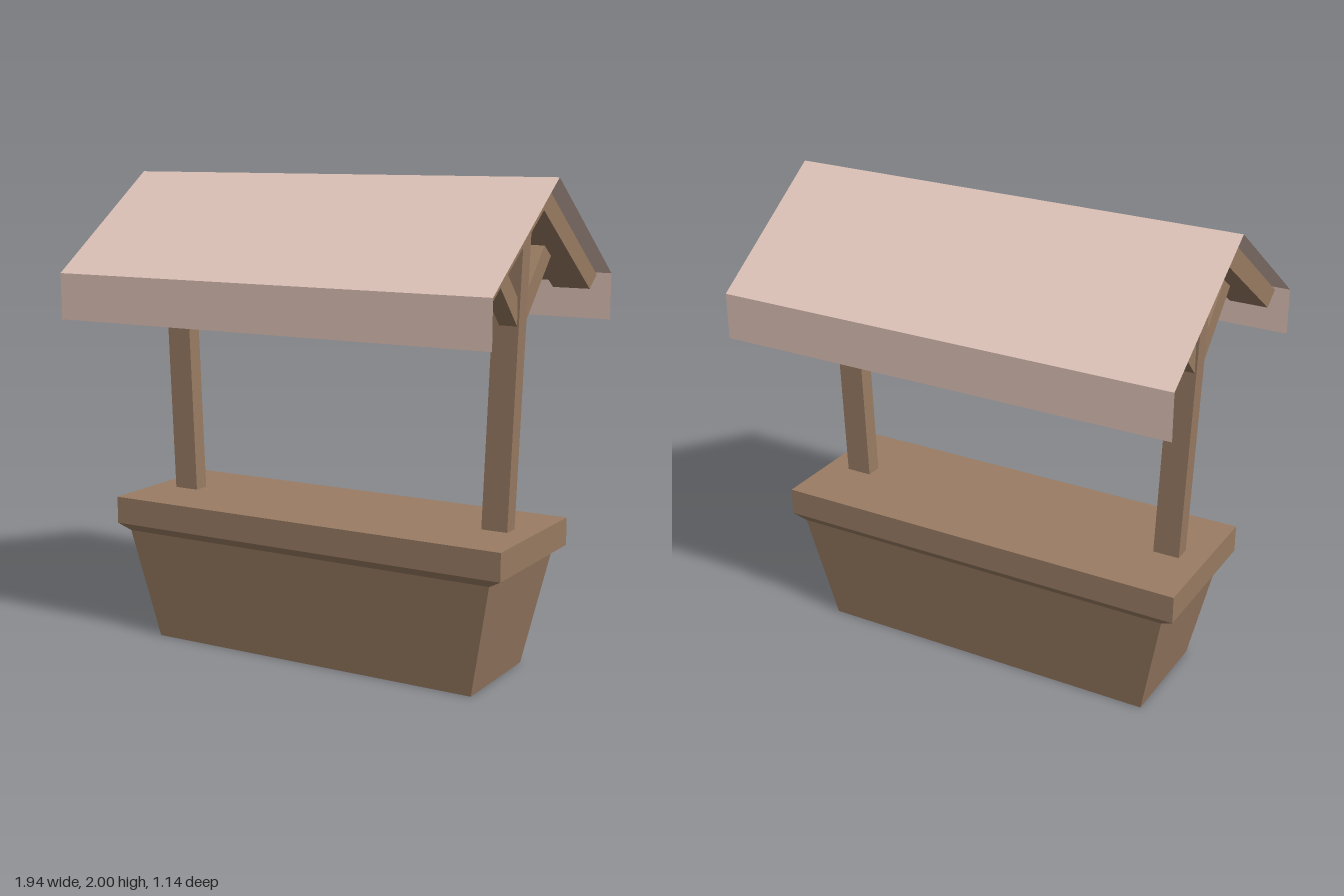
import * as THREE from 'three';

const wood = new THREE.MeshStandardMaterial({ color: 0x9a7c63, flatShading: true });
const cloth = new THREE.MeshStandardMaterial({ color: 0xdfc3b8, flatShading: true, side: THREE.DoubleSide });

function add(parent, name, geometry, material = wood) {
  const mesh = new THREE.Mesh(geometry, material);
  mesh.name = name;
  parent.add(mesh);
  return mesh;
}

// Prism with a (z, y) outline, running from x0 to x1
function prismX(points, x0, x1) {
  const shape = new THREE.Shape(points.map(([z, y]) => new THREE.Vector2(-z, y)));
  const geometry = new THREE.ExtrudeGeometry(shape, { depth: x1 - x0, bevelEnabled: false });
  return geometry.rotateY(Math.PI / 2).translate(x0, 0, 0);
}

// Closed body through rectangular levels [y, halfX, halfZ], from bottom to top
function loft(levels) {
  const pos = [], index = [];
  for (const [y, x, z] of levels) pos.push(-x, y, z, x, y, z, x, y, -z, -x, y, -z);
  for (let l = 0; l < levels.length - 1; l++) {
    for (let i = 0; i < 4; i++) {
      const a = l * 4 + i, b = l * 4 + (i + 1) % 4;
      index.push(a, b, b + 4, a, b + 4, a + 4);
    }
  }
  const t = (levels.length - 1) * 4;
  index.push(0, 2, 1, 0, 3, 2, t, t + 1, t + 2, t, t + 2, t + 3);
  const geometry = new THREE.BufferGeometry();
  geometry.setAttribute('position', new THREE.Float32BufferAttribute(pos, 3));
  geometry.setIndex(index);
  const flat = geometry.toNonIndexed();
  flat.computeVertexNormals();
  return flat;
}

export function createModel() {
  const group = new THREE.Group();
  group.name = 'marketStall';

  // Tapered counter with a flared, straight-sided top
  add(group, 'counter', loft([
    [0, 0.75, 0.235], [0.475, 0.85, 0.3], [0.505, 0.905, 0.32], [0.62, 0.905, 0.32],
  ]));

  for (const side of [1, -1]) {
    const frame = new THREE.Group();
    frame.name = side > 0 ? 'leftFrame' : 'rightFrame';
    frame.rotation.y = side > 0 ? 0 : Math.PI;
    group.add(frame);

    // Post leaning slightly outwards
    const post = new THREE.BoxGeometry(0.112, 1.32, 0.07).translate(0, 1.26, 0);
    const p = post.attributes.position;
    for (let i = 0; i < p.count; i++) p.setX(i, p.getX(i) + 0.745 + (p.getY(i) - 0.62) * 0.038);
    post.computeVertexNormals();
    add(frame, 'post', post);

    // Pair of rafters meeting at the ridge
    add(frame, 'rafters', prismX([
      [0, 1.985], [-0.56, 1.592], [-0.487, 1.54], [0, 1.877], [0.487, 1.54], [0.56, 1.592],
    ], 0.75, 0.91));

    // Diagonal braces from post to rafters
    for (const s of [1, -1]) {
      add(frame, 'brace', prismX([
        [s * 0.02, 1.42], [s * 0.29, 1.695], [s * 0.22, 1.735], [s * 0.02, 1.53],
      ], 0.75, 0.825));
    }
  }

  // Long rails joining the rafters near the eaves
  for (const s of [1, -1]) {
    const rail = add(group, 'eaveRail', new THREE.BoxGeometry(1.52, 0.085, 0.06));
    rail.position.set(0, 1.625, s * 0.44);
    rail.rotation.x = s * 0.61;
  }

  // Thin cloth canopy: two slopes and hanging valances
  const profile = [[0.57, 1.41], [0.57, 1.6], [0, 2], [-0.57, 1.6], [-0.57, 1.41]];
  const names = ['frontValance', 'frontCanopy', 'backCanopy', 'backValance'];
  names.forEach((name, i) => {
    const [z0, y0] = profile[i], [z1, y1] = profile[i + 1];
    const geometry = new THREE.PlaneGeometry(1.94, Math.hypot(z1 - z0, y1 - y0));
    geometry.rotateX(Math.atan2(z1 - z0, y1 - y0));
    add(group, name, geometry, cloth).position.set(0, (y0 + y1) / 2, (z0 + z1) / 2);
  });

  return group;
}
